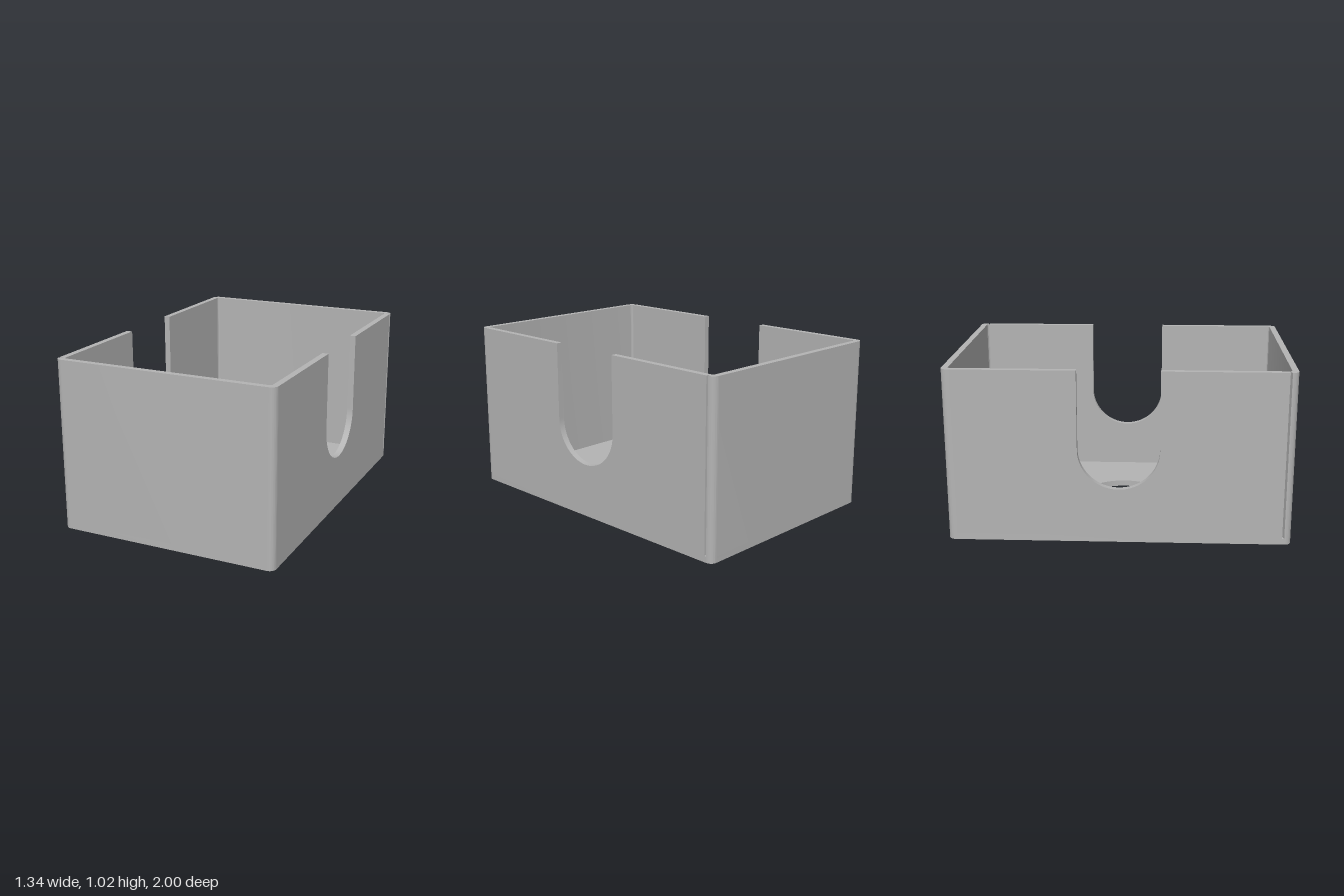
import * as THREE from 'three';
import { toCreasedNormals } from 'three/addons/utils/BufferGeometryUtils.js';

const HX = 0.67, HZ = 1, H = 1.025;    // half width, half length, height
const T = 0.037;                       // wall and floor thickness
const R_OUT = 0.04, R_IN = 0.015;      // corner radii, outside and inside
const SPLIT = HZ - T - R_IN;           // where side walls meet end walls
const HOLE_R = 0.258;                  // round hole in the floor
const SLOT_R = 0.237, SLOT_Y = 0.562;  // U slot radius and arc centre height

function extrude(shape, depth) {
  const geo = new THREE.ExtrudeGeometry(shape, { depth, bevelEnabled: false, curveSegments: 24 });
  return toCreasedNormals(geo, 0.5);
}

// Plan shapes are drawn in x / -z and stood up along y
function plan(shape, y, height) {
  return extrude(shape, height).rotateX(-Math.PI / 2).translate(0, y, 0);
}

function floorShape() {
  const s = new THREE.Shape(), x = HX - R_OUT, z = HZ - R_OUT, q = Math.PI / 2;
  s.absarc(x, z, R_OUT, 0, q);
  s.absarc(-x, z, R_OUT, q, 2 * q);
  s.absarc(-x, -z, R_OUT, 2 * q, 3 * q);
  s.absarc(x, -z, R_OUT, 3 * q, 4 * q);
  s.closePath();
  s.holes.push(new THREE.Path().absarc(0, 0, HOLE_R, 0, Math.PI * 2, true));
  return s;
}

// End wall with both rounded corners
function endShape() {
  const s = new THREE.Shape(), q = Math.PI / 2;
  const xi = HX - T - R_IN;
  s.moveTo(HX, SPLIT);
  s.absarc(HX - R_OUT, HZ - R_OUT, R_OUT, 0, q);
  s.absarc(-HX + R_OUT, HZ - R_OUT, R_OUT, q, 2 * q);
  s.lineTo(-HX, SPLIT);
  s.absarc(-xi, SPLIT, R_IN, 2 * q, q, true);
  s.absarc(xi, SPLIT, R_IN, q, 0, true);
  s.closePath();
  return s;
}

// Side wall with a U slot open at the top
function sideShape() {
  const s = new THREE.Shape();
  s.moveTo(-SPLIT, T);
  s.lineTo(SPLIT, T);
  s.lineTo(SPLIT, H);
  s.lineTo(SLOT_R, H);
  s.lineTo(SLOT_R, SLOT_Y);
  s.absarc(0, SLOT_Y, SLOT_R, 0, -Math.PI, true);
  s.lineTo(-SLOT_R, H);
  s.lineTo(-SPLIT, H);
  s.closePath();
  return s;
}

export function createModel() {
  const group = new THREE.Group();
  group.name = 'openBox';
  const grey = new THREE.MeshStandardMaterial({ color: 0xb4b4b4 });
  grey.name = 'grey';

  const add = (name, geo, turn = 0) => {
    const mesh = new THREE.Mesh(geo, grey);
    mesh.name = name;
    mesh.rotation.y = turn;
    group.add(mesh);
  };

  add('floor', plan(floorShape(), 0, T));

  const end = plan(endShape(), T, H - T);
  add('backWall', end);
  add('frontWall', end, Math.PI);

  const side = extrude(sideShape(), T).rotateY(Math.PI / 2).translate(HX - T, 0, 0);
  add('leftWall', side);
  add('rightWall', side, Math.PI);

  return group;
}
